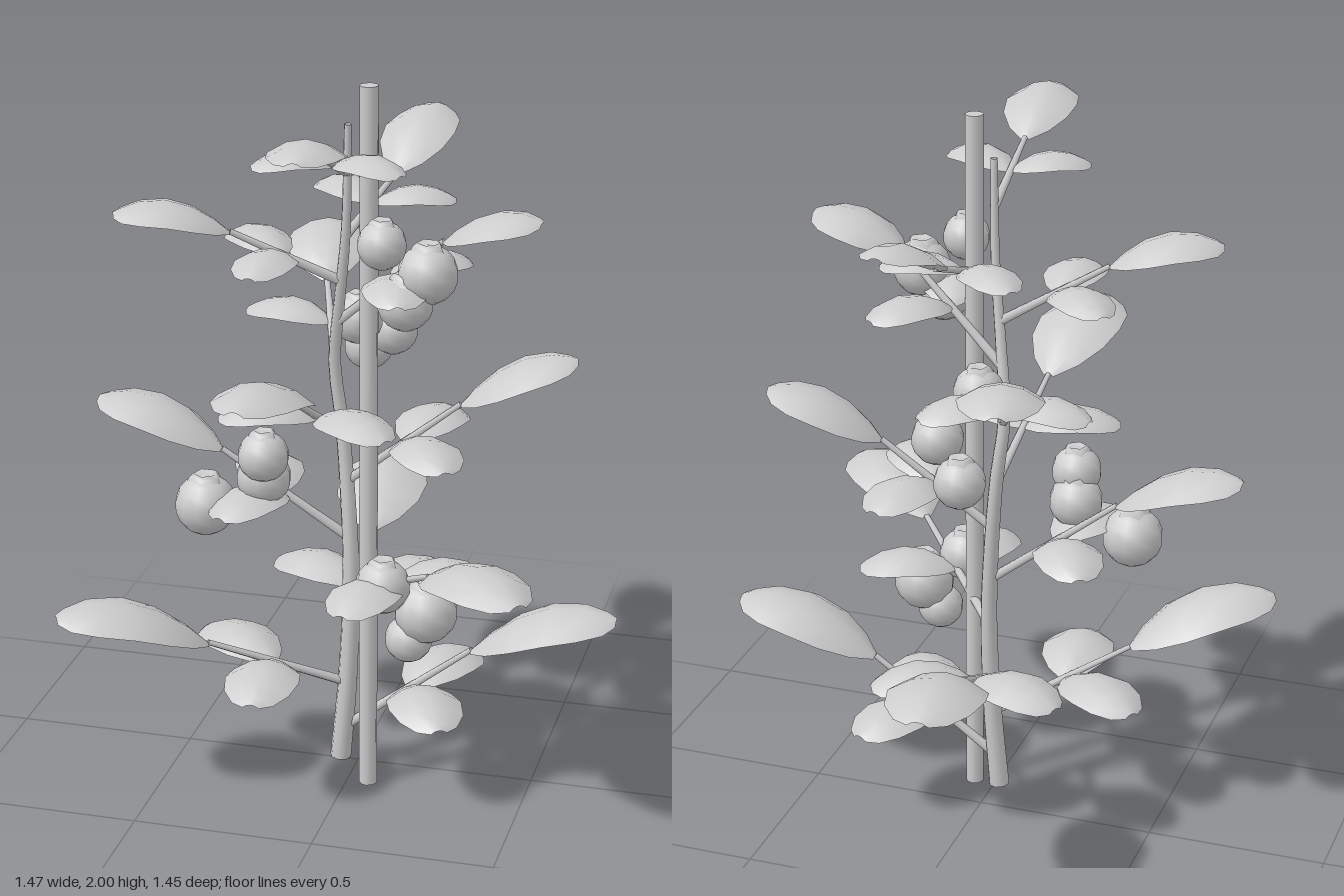
import * as THREE from 'three';

const V = (x, y, z) => new THREE.Vector3(x, y, z);
const grey = new THREE.MeshStandardMaterial({ color: 0xcccccc });
grey.name = 'plain grey';
grey.side = THREE.DoubleSide;

function mesh(name, geometry, parent) {
  const m = new THREE.Mesh(geometry, grey);
  m.name = name;
  parent.add(m);
  return m;
}

// Tube that narrows from r0 to r1 along a curve
function taperedTube(curve, steps, r0, r1, sides) {
  const g = new THREE.TubeGeometry(curve, steps, 1, sides);
  const p = g.attributes.position, v = V(0, 0, 0);
  for (let i = 0; i < p.count; i++) {
    const t = Math.floor(i / (sides + 1)) / steps;
    const c = curve.getPointAt(t);
    v.fromBufferAttribute(p, i).sub(c).multiplyScalar(r0 + (r1 - r0) * t).add(c);
    p.setXYZ(i, v.x, v.y, v.z);
  }
  return g;
}

// Arched leaf blade with drooping edges, from cross-sections between base and tip
const SECTIONS = [[0, 0.12], [0.13, 0.56], [0.32, 0.9], [0.54, 1], [0.77, 0.87], [0.93, 0.55], [1, 0.22]];
function leafGeometry(base, tip, width) {
  const flat = V(tip.x - base.x, 0, tip.z - base.z);
  const length = flat.length();
  const side = V(-flat.z, 0, flat.x).normalize();
  const pos = [], idx = [], cols = 5;
  for (const [t, w] of SECTIONS) {
    for (let j = 0; j < cols; j++) {
      const u = (j / (cols - 1)) * 2 - 1;
      const half = (width / 2) * w;
      const p = base.clone().lerp(tip, t).addScaledVector(side, u * half);
      p.y += 0.75 * length * t * (1 - t) - 0.4 * half * u * u;
      pos.push(p.x, p.y, p.z);
    }
  }
  for (let i = 0; i < SECTIONS.length - 1; i++) {
    for (let j = 0; j < cols - 1; j++) {
      const a = i * cols + j, b = a + 1, c = a + cols, d = c + 1;
      idx.push(a, b, c, b, d, c);
    }
  }
  const g = new THREE.BufferGeometry();
  g.setAttribute('position', new THREE.Float32BufferAttribute(pos, 3));
  g.setIndex(idx);
  g.computeVertexNormals();
  // Turn the upper face outward
  if (g.attributes.normal.getY(17) < 0) {
    g.setIndex(idx.reverse());
    g.computeVertexNormals();
  }
  return g;
}

// Berry with a five-sided crown
function addBerry(center, r, parent) {
  const berry = new THREE.Group();
  berry.name = 'berry';
  berry.position.copy(center);
  mesh('berryBody', new THREE.SphereGeometry(r, 12, 9), berry);
  const crown = [[0.58, 0.81], [0.5, 0.97], [0.38, 1.07], [0.25, 0.98], [0, 0.96]];
  mesh('berryCrown', new THREE.LatheGeometry(
    crown.map(([x, y]) => new THREE.Vector2(x * r, y * r)), 5), berry);
  parent.add(berry);
}

// Each branch: root height, leaf base, leaf tip, leaf width, berries [x, y, z, r]
const BRANCHES = [
  { y: 0.13, base: [0.33, 0.40, 0.035], tip: [0.73, 0.535, 0.025], w: 0.27 },
  { y: 0.27, base: [-0.36, 0.44, 0.25], tip: [-0.72, 0.57, 0.46], w: 0.27 },
  { y: 0.38, base: [-0.05, 0.57, -0.33], tip: [-0.08, 0.65, -0.72], w: 0.265 },
  { y: 0.55, base: [0.27, 0.73, 0.30], tip: [0.56, 0.79, 0.55], w: 0.25,
    berries: [[0.13, 0.66, 0.24, 0.075], [0.24, 0.58, 0.2, 0.086], [0.195, 0.5, 0.21, 0.065]] },
  { y: 0.70, base: [-0.36, 0.95, 0.09], tip: [-0.71, 1.07, 0.08], w: 0.25,
    berries: [[-0.38, 0.82, 0.18, 0.085], [-0.22, 0.91, 0.165, 0.075], [-0.21, 0.985, 0.2, 0.07]] },
  { y: 0.86, base: [0.28, 1.10, -0.02], tip: [0.585, 1.235, -0.08], w: 0.25 },
  { y: 1.00, base: [-0.08, 1.20, 0.34], tip: [-0.13, 1.31, 0.72], w: 0.245 },
  { y: 1.18, base: [-0.14, 1.36, -0.20], tip: [-0.22, 1.43, -0.52], w: 0.23,
    berries: [[-0.02, 1.30, -0.075, 0.07], [0.04, 1.22, -0.23, 0.07], [-0.05, 1.14, -0.31, 0.07]] },
  { y: 1.45, base: [-0.30, 1.60, 0.18], tip: [-0.585, 1.66, 0.28], w: 0.22 },
  { y: 1.33, base: [0.26, 1.60, 0.115], tip: [0.525, 1.68, 0.15], w: 0.235 },
  { y: 1.58, base: [0.055, 1.68, -0.20], tip: [0.105, 1.80, -0.49], w: 0.205 },
  { y: 1.76, base: [0, 1.87, 0.36], tip: [0.01, 1.94, 0.66], w: 0.2 },
];
BRANCHES[9].berries = [[0.125, 1.615, 0.24, 0.065], [0.235, 1.53, 0.19, 0.08], [0.18, 1.455, 0.21, 0.075]];

export function createModel() {
  const plant = new THREE.Group();
  plant.name = 'stakedBerryPlant';

  // Support stake
  mesh('stake', new THREE.CylinderGeometry(0.025, 0.025, 2, 10), plant).position.set(0.06, 1, 0.12);

  // Winding main stem
  const path = [
    V(-0.035, 0.04, 0.06), V(-0.015, 0.3, 0.055), V(-0.01, 0.6, 0.04), V(-0.04, 1, 0.01),
    V(-0.06, 1.2, 0.02), V(-0.035, 1.4, 0.06), V(-0.01, 1.6, 0.09), V(0, 1.89, 0.105),
  ];
  mesh('mainStem', taperedTube(new THREE.CatmullRomCurve3(path), 32, 0.03, 0.01, 8), plant);
  const stemAt = (y) => {
    const i = Math.max(1, path.findIndex((p) => p.y >= y));
    const a = path[i - 1], b = path[i];
    return a.clone().lerp(b, (y - a.y) / (b.y - a.y));
  };

  for (const b of BRANCHES) {
    const branch = new THREE.Group();
    branch.name = 'branch';
    plant.add(branch);
    const root = stemAt(b.y), base = V(...b.base), tip = V(...b.tip);

    // Stalk and end leaf
    mesh('leafStalk', taperedTube(new THREE.LineCurve3(root, base), 3, 0.014, 0.008, 6), branch);
    mesh('endLeaf', leafGeometry(base, tip, b.w), branch);

    // Pair of side leaves
    const joint = root.clone().lerp(base, 0.52);
    const dir = V(tip.x - root.x, 0, tip.z - root.z).normalize();
    const length = b.w * 1.09;
    for (const s of [-1, 1]) {
      const out = dir.clone().applyAxisAngle(V(0, 1, 0), s * 1.1);
      const end = joint.clone().addScaledVector(out, length);
      end.y += 0.01;
      mesh('sideLeaf', leafGeometry(joint, end, b.w * 0.76), branch);
    }

    // Berry cluster
    for (const [x, y, z, r] of b.berries || []) addBerry(V(x, y, z), r, branch);
  }
  return plant;
}
